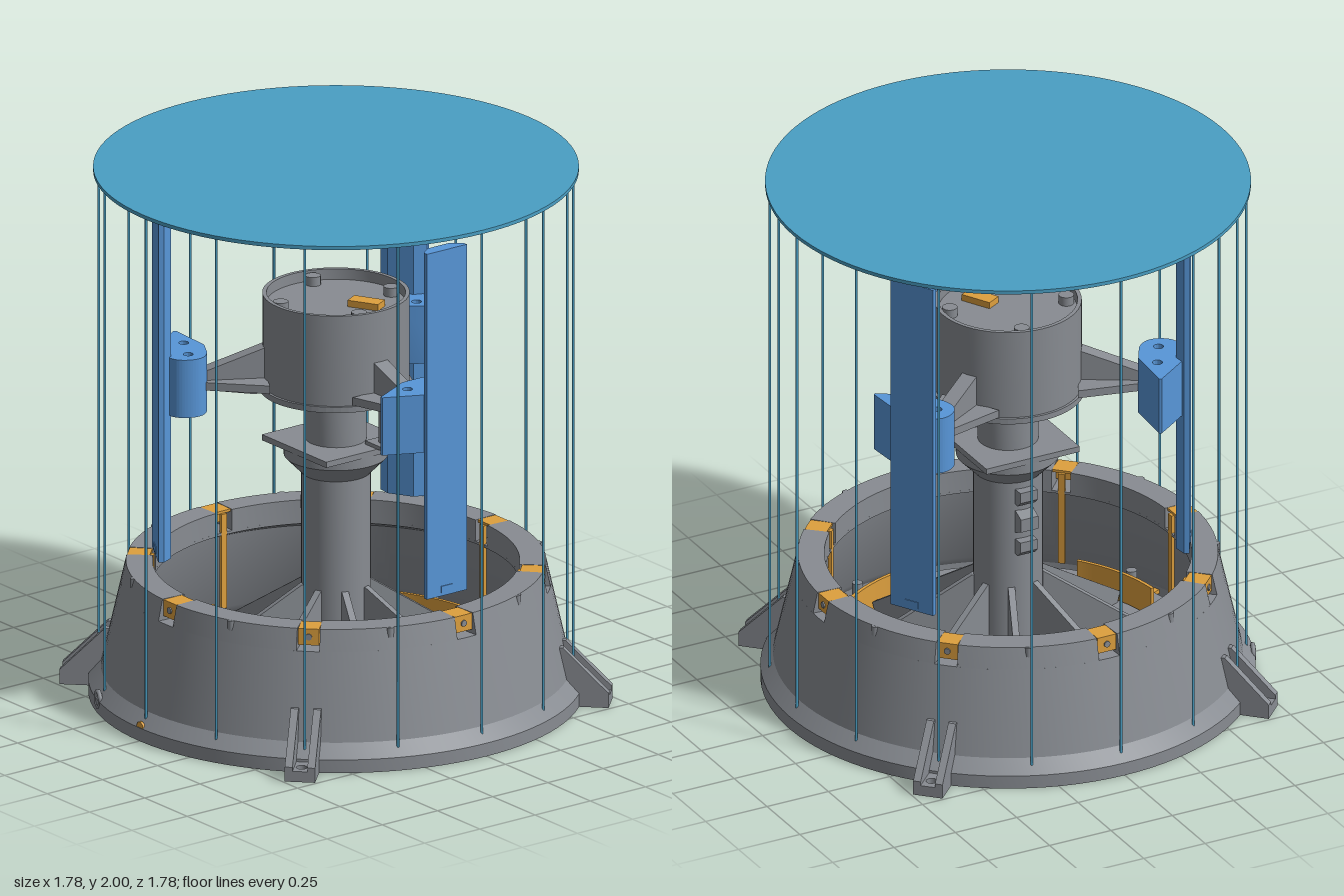
import * as THREE from 'three';
import { toCreasedNormals } from 'three/addons/utils/BufferGeometryUtils.js';

const mat = (name, color) => new THREE.MeshStandardMaterial({ name, color });

export function createModel() {
  const grey = mat('grey', 0x888c92);
  const blue = mat('blue', 0x5896d8);
  const teal = mat('teal', 0x4a9fc4);
  const orange = mat('orange', 0xdea03e);
  const model = new THREE.Group();

  // Helpers
  const add = (parent, name, geo, material, x = 0, y = 0, z = 0) => {
    const m = new THREE.Mesh(geo, material);
    m.name = name;
    m.position.set(x, y, z);
    parent.add(m);
    return m;
  };
  const box = (w, h, d) => new THREE.BoxGeometry(w, h, d);
  const cyl = (r, h, n = 24) => new THREE.CylinderGeometry(r, r, h, n);
  const lathe = (pts, n = 72, start = 0, sweep = Math.PI * 2) => toCreasedNormals(
    new THREE.LatheGeometry(pts.map(p => new THREE.Vector2(...p)), n, start, sweep), 0.4);
  const shape = pts => new THREE.Shape(pts.map(p => new THREE.Vector2(...p)));
  // Side outline (radius, height) given a thickness across
  const rib = (pts, t) => new THREE.ExtrudeGeometry(shape(pts), { depth: t, bevelEnabled: false }).translate(0, 0, -t / 2);
  // Plan outline (radius, tangent) raised from y0 to y1
  const plan = (s, y0, y1) => new THREE.ExtrudeGeometry(s, { depth: y1 - y0, bevelEnabled: false, curveSegments: 32 })
    .rotateX(Math.PI / 2).translate(0, y1, 0);
  // A group turned so that its own +x points outward at the given angle
  const spoke = (name, deg) => {
    const g = new THREE.Group();
    g.name = name;
    g.rotation.y = -deg * Math.PI / 180;
    model.add(g);
    return g;
  };
  const ring = (ro, ri) => {
    const s = new THREE.Shape().absarc(0, 0, ro, 0, Math.PI * 2, false);
    s.holes.push(new THREE.Path().absarc(0, 0, ri, 0, Math.PI * 2, true));
    return s;
  };
  const arc = (ro, ri, half) => new THREE.Shape().absarc(0, 0, ro, -half, half, false).absarc(0, 0, ri, half, -half, true);

  // Conical base wall up to the clip slots
  add(model, 'baseWall', lathe([[0.81, 0], [0.89, 0], [0.89, 0.05], [0.845, 0.1], [0.773, 0.42],
    [0.66, 0.42], [0.66, 0.41], [0.725, 0.38], [0.79, 0.08], [0.81, 0.05], [0.81, 0]], 96), grey);
  // Open floor: two rings, hub and orange retaining ring
  add(model, 'outerFloorRing', plan(ring(0.745, 0.68), 0.045, 0.065), grey);
  add(model, 'innerFloorRing', plan(ring(0.62, 0.5), 0.04, 0.06), grey);
  add(model, 'hub', cyl(0.22, 0.03, 48), grey, 0, 0.055);
  add(model, 'retainingRing', plan(ring(0.64, 0.5), 0.025, 0.04), orange);

  for (let i = 0; i < 4; i++) {
    // Ring tabs and upright arc walls
    const t = spoke('ringTab', 67.5 + 90 * i);
    add(t, 'tab', box(0.19, 0.015, 0.08), orange, 0.715, 0.0325);
    add(t, 'arcWall', plan(arc(0.638, 0.625, 0.28), 0.04, 0.17), orange);

    // Mounting ears: drilled plate between two sloped cheeks
    const e = spoke('mountingEar', 45 + 90 * i);
    const plate = shape([[0.82, -0.055], [0.995, -0.055], [0.995, 0.055], [0.82, 0.055]]);
    plate.holes.push(new THREE.Path().absarc(0.947, 0, 0.02, 0, Math.PI * 2, true));
    add(e, 'earPlate', plan(plate, 0, 0.04), grey);
    for (const s of [-1, 1])
      add(e, 'earCheek', rib([[0.82, 0], [0.995, 0], [0.995, 0.055], [0.83, 0.22], [0.8, 0.22]], 0.028), grey, 0, 0, s * 0.041);
  }
  // Front insert and cable port at the foot of the wall
  const insert = spoke('insert', 90);
  add(insert, 'insertBush', cyl(0.018, 0.01, 16).rotateZ(Math.PI / 2), orange, 0.884, 0.055);
  const port = spoke('cablePort', 112.5);
  add(port, 'portCollar', new THREE.TorusGeometry(0.028, 0.009, 8, 20).rotateY(Math.PI / 2), grey, 0.884, 0.05);

  const gap = 0.055;
  const sweep = Math.PI / 4 - 2 * gap;
  const rimSection = [[0.66, 0.42], [0.773, 0.42], [0.755, 0.5], [0.66, 0.5], [0.66, 0.42]];
  for (let i = 0; i < 8; i++) {
    // Clips sunk into the slots, with straps down the inside
    const c = spoke('rimClip', 45 * i);
    add(c, 'clipFace', box(0.03, 0.062, 0.076), orange, 0.737, 0.468);
    add(c, 'clipScrew', cyl(0.012, 0.006, 12).rotateZ(Math.PI / 2), grey, 0.754, 0.468);
    add(c, 'clipTop', box(0.07, 0.01, 0.076), orange, 0.705, 0.494);
    add(c, 'clipStrap', box(0.012, 0.36, 0.025), orange, 0.665, 0.31);

    // Rim sections between the slots
    const r = spoke('rimSection', 45 * i + 22.5);
    add(r, 'rim', lathe(rimSection, 12, Math.PI / 2 - sweep / 2, sweep), grey);
    for (const s of [-1, 1])
      add(r, 'rimEnd', rib(rimSection.slice(0, 4), 0.004), grey).rotation.y = s * (sweep / 2 - 0.002);
    add(r, 'rimLug', cyl(0.014, 0.035, 12), grey, 0.752, 0.482);
    // Sloped ribs from the column out to the floor ring
    add(r, 'floorRib', rib([[0.11, 0.04], [0.6, 0.04], [0.62, 0.1], [0.13, 0.42], [0.11, 0.42]], 0.025), grey);
    add(r, 'floorStud', cyl(0.02, 0.1, 12), grey, 0.7, 0.1);
  }

  // Top disc and sixteen hanging rods
  add(model, 'topDisc', cyl(0.873, 0.014, 96), teal, 0, 1.993);
  for (let i = 0; i < 16; i++)
    add(spoke('rod', 22.5 * i), 'rodShaft', cyl(0.005, 1.92, 8), teal, 0.86, 1.03);

  // Column flaring to a square gearbox plate
  add(model, 'column', lathe([[0, 0.05], [0.125, 0.05], [0.125, 0.84], [0.188, 0.905], [0.188, 0.945], [0, 0.945]], 48), grey);
  add(model, 'squarePlate', box(0.38, 0.022, 0.38), grey, 0, 0.954);
  add(model, 'gearbox', lathe([[0, 0.96], [0.11, 0.96], [0.11, 1.13], [0.04, 1.13], [0.04, 1.17], [0, 1.17]], 40), grey);
  add(model, 'sensorPost', cyl(0.025, 0.16, 20), grey, 0.175, 1.05, -0.09);
  add(model, 'sensorFoot', box(0.09, 0.014, 0.12), grey, 0.165, 0.972, -0.1);
  // Cable hooks: two curled ones around a tapered guide
  for (const y of [0.785, 0.585])
    add(model, 'cableHook', rib([[-0.12, y - 0.03], [-0.12, y + 0.03], [-0.16, y + 0.03], [-0.16, y - 0.01], [-0.14, y - 0.03]], 0.07), grey);
  add(model, 'cableGuide', rib([[-0.12, 0.64], [-0.12, 0.73], [-0.165, 0.71], [-0.165, 0.66]], 0.07), grey);

  // Rotor drum, recessed above and hollow below, over a cross-braced ring
  add(model, 'drum', lathe([[0, 1.25], [0.25, 1.25], [0.25, 1.175], [0.265, 1.175], [0.265, 1.52], [0.25, 1.52], [0.25, 1.48], [0, 1.48]], 64), grey);
  add(model, 'drumRing', plan(ring(0.275, 0.21), 1.155, 1.177), grey);
  add(model, 'drumCore', cyl(0.09, 0.1, 32), grey, 0, 1.205);
  add(model, 'neck', cyl(0.06, 0.06, 24), grey, 0, 1.145);
  for (let i = 0; i < 4; i++) {
    const b = spoke('drumBoss', 90 * i + 15);
    add(b, 'boss', cyl(0.028, 0.036, 16), grey, 0.215, 1.496);
    add(b, 'drumBrace', box(0.16, 0.022, 0.06), grey, 0.15, 1.166);
  }
  add(model, 'drumTerminal', box(0.12, 0.025, 0.06), orange, 0.1, 1.492, -0.06).rotation.y = 0.5;

  // Three arms, each with a bracket and an upright blade
  const bladePlan = shape([[0.605, -0.05], [0.635, -0.09], [0.655, -0.09], [0.655, 0.09], [0.635, 0.09], [0.605, 0.05]]);
  const bracketPlan = new THREE.Shape();
  bracketPlan.moveTo(0.61, -0.07);
  bracketPlan.lineTo(0.632, 0.07);
  bracketPlan.lineTo(0.56, 0.22);
  bracketPlan.lineTo(0.55, 0.22);
  bracketPlan.lineTo(0.47, 0.06);
  bracketPlan.lineTo(0.47, -0.02);
  bracketPlan.quadraticCurveTo(0.48, -0.1, 0.55, -0.1);
  bracketPlan.quadraticCurveTo(0.59, -0.1, 0.61, -0.07);
  for (const t of [-0.035, 0.09])
    bracketPlan.holes.push(new THREE.Path().absarc(0.54, t, 0.018, 0, Math.PI * 2, true));
  for (let i = 0; i < 3; i++) {
    const a = spoke('bladeArm', 120 * i);
    add(a, 'armWeb', rib([[0.24, 1.16], [0.3, 1.155], [0.49, 1.18], [0.49, 1.245], [0.26, 1.33], [0.24, 1.33]], 0.06), grey);
    add(a, 'armFlange', plan(shape([[0.255, -0.12], [0.49, -0.05], [0.49, 0.05], [0.255, 0.12]]), 1.185, 1.215), grey);
    add(a, 'bracket', toCreasedNormals(plan(bracketPlan, 1.1, 1.32), 0.5), blue);
    add(a, 'blade', plan(bladePlan, 0.55, 1.865), blue);
    add(a, 'bladeStop', box(0.012, 0.025, 0.055), blue, 0.652, 0.575);
  }
  return model;
}
